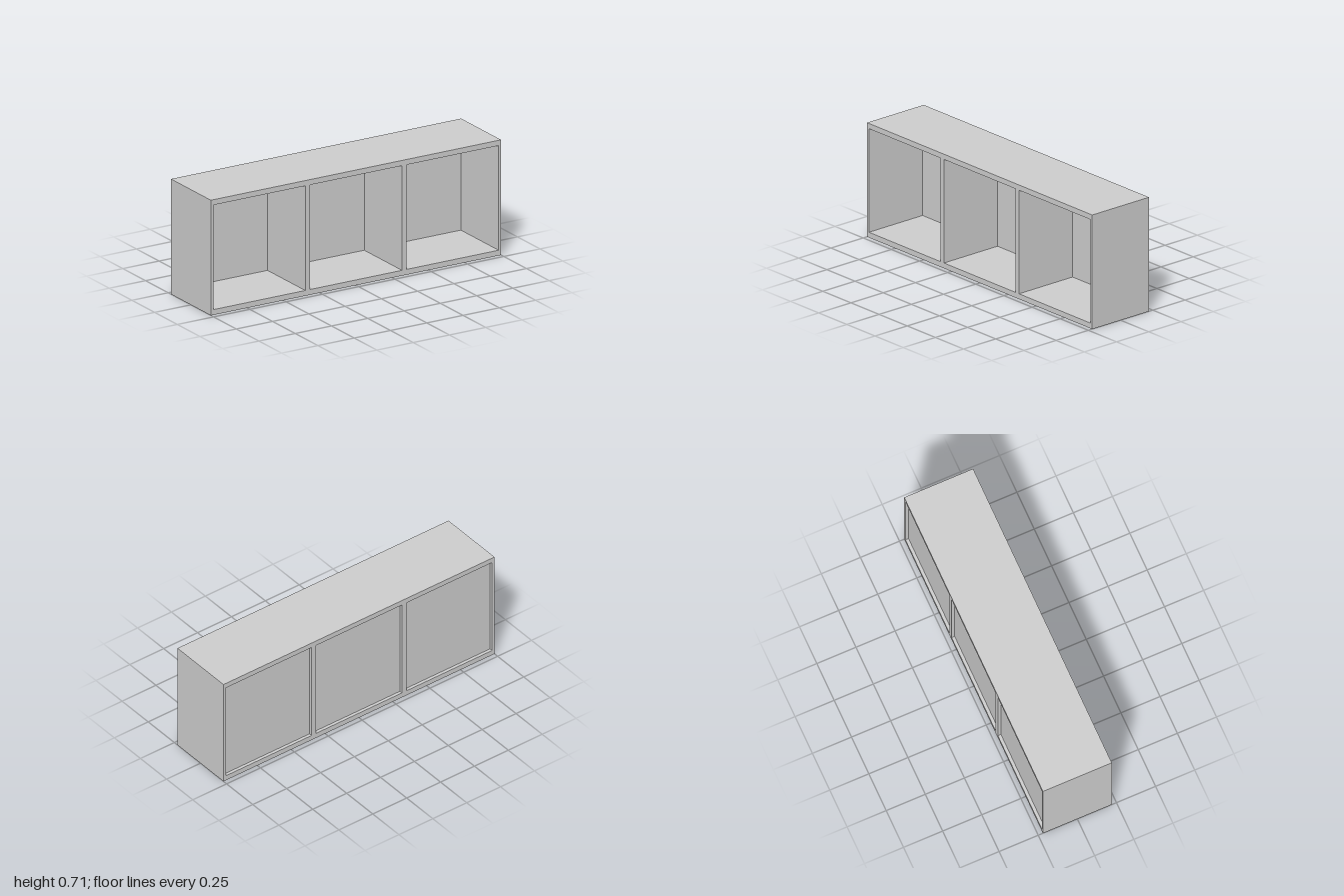
import * as THREE from 'three';

export function createModel() {
  const W = 2, H = 0.714, D = 0.44;   // overall size
  const side = 0.017, slab = 0.033;   // board thicknesses
  const bays = 3;
  const group = new THREE.Group();
  group.name = 'openShelfCabinet';
  const material = new THREE.MeshStandardMaterial({ color: 0xcccccc });

  const board = (name, w, h, d, x, y, z = 0) => {
    const mesh = new THREE.Mesh(new THREE.BoxGeometry(w, h, d), material);
    mesh.name = name;
    mesh.position.set(x, y, z);
    group.add(mesh);
  };

  // Top and bottom boards
  board('bottomBoard', W, slab, D, 0, slab / 2);
  board('topBoard', W, slab, D, 0, H - slab / 2);

  // Side walls
  const innerH = H - 2 * slab;
  for (const s of [-1, 1]) {
    board(s > 0 ? 'leftSide' : 'rightSide', side, innerH, D, s * (W - side) / 2, H / 2);
  }

  // Dividers, double the side thickness
  const divider = 2 * side - 0.002;
  for (let i = 1; i < bays; i++) {
    board(`divider${i}`, divider, innerH, D, -W / 2 + (i * W) / bays, H / 2);
  }

  // Thin back panels, set in slightly from the rear edge
  for (let i = 0; i < bays; i++) {
    const x0 = i === 0 ? -W / 2 + side : -W / 2 + (i * W) / bays + divider / 2;
    const x1 = i === bays - 1 ? W / 2 - side : -W / 2 + ((i + 1) * W) / bays - divider / 2;
    board(`backPanel${i + 1}`, x1 - x0, innerH, 0.004, (x0 + x1) / 2, H / 2, -0.198);
  }
  return group;
}
